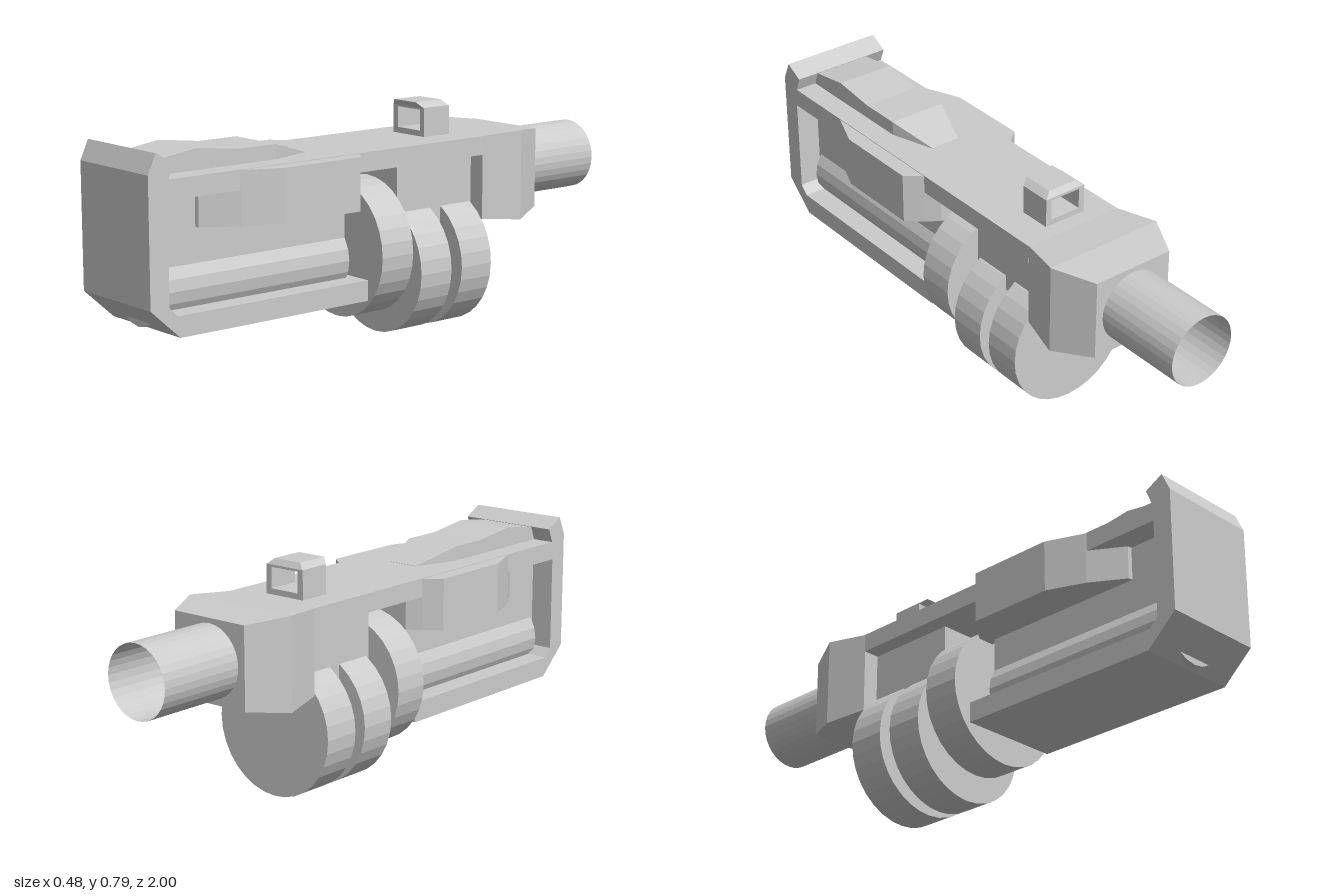
import * as THREE from 'three';

const grey = new THREE.MeshStandardMaterial({ color: 0xcccccc, flatShading: true });
const greyOpen = new THREE.MeshStandardMaterial({ color: 0xcccccc, flatShading: true, side: THREE.DoubleSide });

function makeShape(points) {
  return new THREE.Shape(points.map(([a, b]) => new THREE.Vector2(a, b)));
}

// Profile of [z, y] points, extruded symmetrically across x
function sideExtrude(points, width) {
  return new THREE.ExtrudeGeometry(makeShape(points), { depth: width, bevelEnabled: false })
    .translate(0, 0, -width / 2).rotateY(-Math.PI / 2);
}

// Plan of [x, z] points, extruded from y0 up to y1
function planExtrude(points, y0, y1) {
  return new THREE.ExtrudeGeometry(makeShape(points), { depth: y1 - y0, bevelEnabled: false })
    .rotateX(Math.PI / 2).translate(0, y1, 0);
}

// Solid through four-cornered rings; each ring runs counter-clockwise seen from its far end
function loft(rings) {
  const index = [];
  for (let r = 0; r < rings.length - 1; r++) {
    for (let i = 0; i < 4; i++) {
      const a = r * 4 + i, b = r * 4 + (i + 1) % 4;
      index.push(a, b, b + 4, a, b + 4, a + 4);
    }
  }
  const n = (rings.length - 1) * 4;
  index.push(0, 2, 1, 0, 3, 2, n, n + 1, n + 2, n, n + 2, n + 3);
  const geometry = new THREE.BufferGeometry();
  geometry.setAttribute('position', new THREE.Float32BufferAttribute(rings.flat(2), 3));
  geometry.setIndex(index);
  const flat = geometry.toNonIndexed();
  flat.computeVertexNormals();
  return flat;
}

// Upright rectangle at depth z
const rectZ = (z, w, y0, y1) => [[-w, y0, z], [w, y0, z], [w, y1, z], [-w, y1, z]];
// Level rectangle at height y
const rectY = (y, x0, x1, z0, z1) => [[x0, y, z1], [x1, y, z1], [x1, y, z0], [x0, y, z0]];

// Cylinder lying along z
function rod(radius, z0, z1, y, sides, open = false) {
  return new THREE.CylinderGeometry(radius, radius, z1 - z0, sides, 1, open)
    .rotateX(Math.PI / 2).translate(0, y, (z0 + z1) / 2);
}

function box(w, y0, y1, z0, z1) {
  return new THREE.BoxGeometry(w, y1 - y0, z1 - z0).translate(0, (y0 + y1) / 2, (z0 + z1) / 2);
}

export function createModel() {
  const model = new THREE.Group();
  const add = (name, geometry, material = grey) => {
    const mesh = new THREE.Mesh(geometry, material);
    mesh.name = name;
    model.add(mesh);
  };

  // C-shaped frame: top rail, front plate with raised lip, lower rail
  add('frame', sideExtrude([
    [-0.39, 0.605], [-0.39, 0.67], [0.925, 0.67], [0.905, 0.72], [0.97, 0.755], [1, 0.69],
    [1, 0.27], [0.89, 0.17], [0.13, 0.17], [0.13, 0.24], [0.9, 0.24], [0.93, 0.27],
    [0.93, 0.605],
  ], 0.37));

  // Inner core with a round tube along its foot
  add('core', box(0.2, 0.22, 0.62, 0.16, 0.94));
  add('coreTube', rod(0.125, 0.16, 0.92, 0.3, 20));

  // Raised hump on the top rail
  add('topHump', loft([
    rectZ(0.29, 0.055, 0.65, 0.671), rectZ(0.45, 0.105, 0.65, 0.72), rectZ(0.6, 0.105, 0.65, 0.72),
    rectZ(0.76, 0.105, 0.65, 0.74), rectZ(0.93, 0.105, 0.65, 0.715),
  ]));

  // Bulging side panels
  for (const [side, name] of [[1, 'leftPanel'], [-1, 'rightPanel']]) {
    const plan = [[0.08, 0.77], [0.115, 0.765], [0.187, 0.65], [0.24, 0.52], [0.24, 0.21], [0.187, 0.165], [0.14, 0.13], [0.08, 0.13]];
    add(name, planExtrude(plan.map(([x, z]) => [x * side, z]), 0.49, 0.668));
  }

  // Hanger below the top rail and the flared rear block
  add('hanger', box(0.25, 0.38, 0.62, -0.4, -0.05));
  add('rearBlock', loft([
    rectZ(-0.68, 0.15, 0.385, 0.665), rectZ(-0.54, 0.22, 0.365, 0.68), rectZ(-0.39, 0.184, 0.38, 0.67),
  ]));

  // Three drums on a thin axle
  const drums = [[-0.025, 0.11, 0.318], [-0.2, -0.063, 0.236], [-0.385, -0.248, 0.236]];
  drums.forEach(([z0, z1, y], i) => add(`drum${i + 1}`, rod(0.236, z0, z1, y, 32)));
  add('drumAxle', rod(0.02, -0.3, 0.05, 0.19, 12));

  // Open barrel
  add('barrel', rod(0.123, -1, -0.67, 0.525, 32, true), greyOpen);

  // Hollow sight with a raked roof
  const sight = makeShape([[-0.088, 0.665], [0.07, 0.665], [0.07, 0.77], [-0.088, 0.77]]);
  sight.holes.push(new THREE.Path([[-0.066, 0.69], [-0.066, 0.762], [0.048, 0.762], [0.048, 0.69]]
    .map(([x, y]) => new THREE.Vector2(x, y))));
  add('sight', new THREE.ExtrudeGeometry(sight, { depth: 0.115, bevelEnabled: false }).translate(0, 0, -0.336));
  add('sightRoof', loft([
    rectY(0.768, -0.088, 0.07, -0.336, -0.221), rectY(0.789, -0.064, 0.046, -0.32, -0.203),
  ]));

  return model;
}
